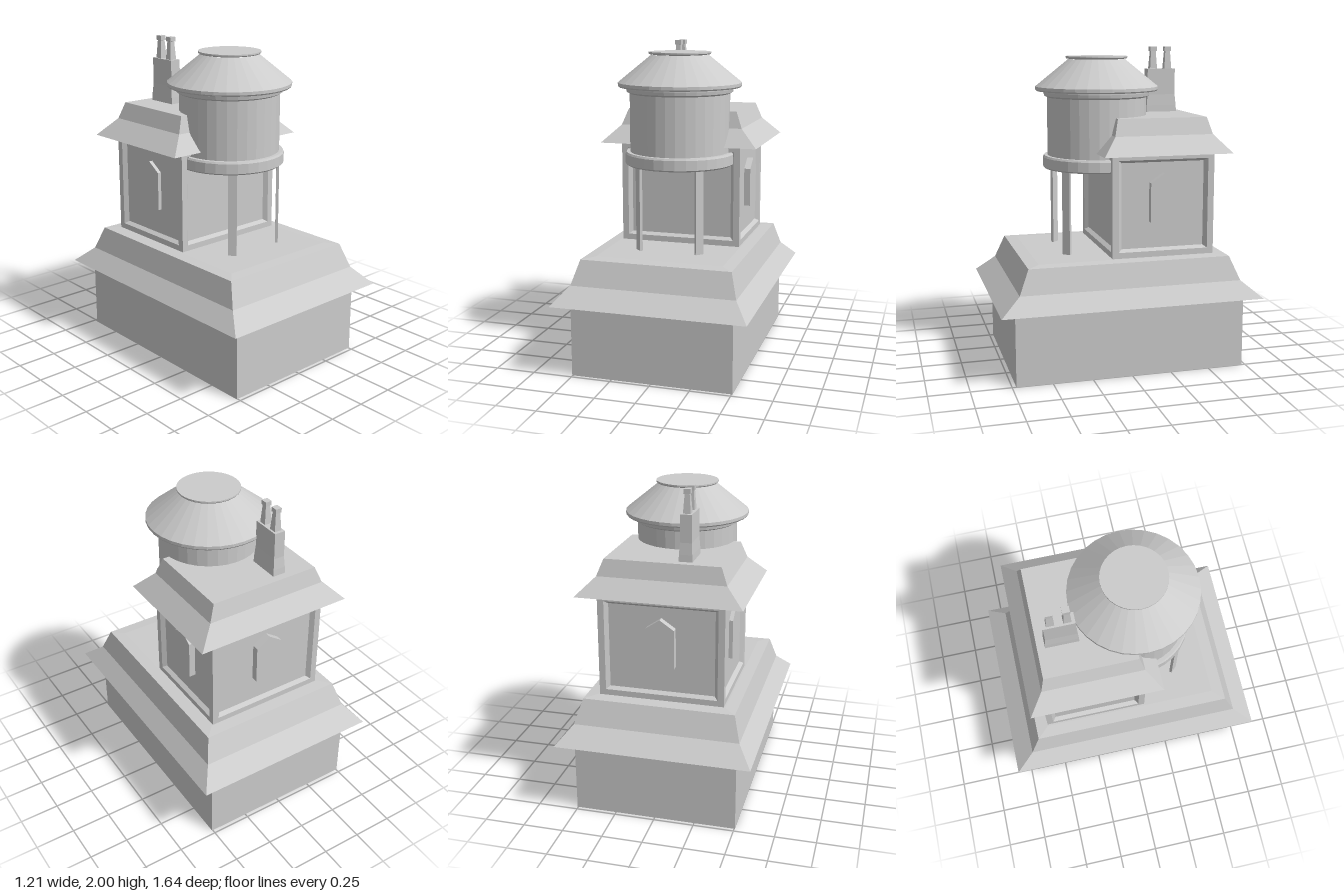
import * as THREE from 'three';

const material = new THREE.MeshStandardMaterial({ color: 0xcccccc, flatShading: true });

function add(parent, name, geometry, x = 0, y = 0, z = 0) {
  const mesh = new THREE.Mesh(geometry, material);
  mesh.name = name;
  mesh.position.set(x, y, z);
  parent.add(mesh);
  return mesh;
}

// Skin of rectangles stacked along y; each ring is [halfX, halfZ, y].
function rectLoft(rings, closeBottom = true) {
  const loops = rings.map(([a, b, y]) => [[-a, y, -b], [-a, y, b], [a, y, b], [a, y, -b]]);
  const pos = [];
  const quad = (a, b, c, d) => pos.push(...a, ...b, ...c, ...a, ...c, ...d);
  for (let r = 0; r < loops.length - 1; r++) {
    for (let i = 0; i < 4; i++) {
      const j = (i + 1) % 4;
      quad(loops[r][i], loops[r][j], loops[r + 1][j], loops[r + 1][i]);
    }
  }
  quad(...loops[loops.length - 1]);
  if (closeBottom) quad(...[...loops[0]].reverse());
  const geometry = new THREE.BufferGeometry();
  geometry.setAttribute('position', new THREE.Float32BufferAttribute(pos, 3));
  geometry.computeVertexNormals();
  return geometry;
}

function box(w, h, d) {
  return new THREE.BoxGeometry(w, h, d);
}

// Pointed window block, standing out along +z.
function windowGeometry(depth) {
  const shape = new THREE.Shape();
  shape.moveTo(-0.0875, -0.1525);
  shape.lineTo(0.0875, -0.1525);
  shape.lineTo(0.0875, 0.0925);
  shape.lineTo(0, 0.1525);
  shape.lineTo(-0.0875, 0.0925);
  shape.closePath();
  return new THREE.ExtrudeGeometry(shape, { depth, bevelEnabled: false });
}

function createCabin() {
  const cabin = new THREE.Group();
  cabin.name = 'upperHouse';
  cabin.position.z = -0.23;

  // Four walls with sunk, bevelled panels: [turn, half width, distance, window depth]
  const recess = 0.025;
  const walls = [
    ['frontWall', 0, 0.39, 0.3275, 0],
    ['leftWall', Math.PI / 2, 0.3275, 0.39, 0.04],
    ['backWall', Math.PI, 0.39, 0.3275, 0.042],
    ['rightWall', -Math.PI / 2, 0.3275, 0.39, 0.024],
  ];
  for (const [name, turn, half, distance, windowDepth] of walls) {
    const side = new THREE.Group();
    side.name = name;
    side.rotation.y = turn;
    const panel = rectLoft([
      [half, 0.3225, 0],
      [half - 0.04, 0.285, 0],
      [half - 0.062, 0.268, -recess],
    ], false);
    panel.rotateX(Math.PI / 2);
    add(side, name + 'Panel', panel, 0, 1.0425, distance);
    if (windowDepth) add(side, 'window', windowGeometry(windowDepth), 0, 1.0925, distance - recess);
    cabin.add(side);
  }

  add(cabin, 'upperRoof', rectLoft([
    [0.507, 0.406, 1.365],
    [0.395, 0.312, 1.475],
    [0.355, 0.285, 1.578],
  ]));

  // Chimney with two pots
  const chimney = new THREE.Group();
  chimney.name = 'chimney';
  chimney.position.set(-0.13, 0, -0.135);
  add(chimney, 'chimneyStack', rectLoft([
    [0.042, 0.103, 1.57],
    [0.04, 0.1, 1.62],
    [0.035, 0.093, 1.69],
    [0.035, 0.093, 1.857],
  ]));
  for (const z of [-0.049, 0.049]) {
    add(chimney, 'chimneyPot', rectLoft([
      [0.023, 0.024, 1.855],
      [0.015, 0.016, 1.97],
      [0.02, 0.022, 1.972],
      [0.02, 0.022, 2],
    ]), 0, 0, z);
  }
  cabin.add(chimney);
  return cabin;
}

function createTank() {
  const tank = new THREE.Group();
  tank.name = 'waterTank';
  tank.position.z = 0.097;
  const lathe = (name, points) =>
    add(tank, name, new THREE.LatheGeometry(points.map(([r, y]) => new THREE.Vector2(r, y)), 32));

  lathe('tankBand', [[0, 1.243], [0.335, 1.243], [0.345, 1.252], [0.345, 1.313], [0.338, 1.325], [0.31, 1.325]]);
  lathe('tankBody', [[0.315, 1.32], [0.315, 1.69]]);
  lathe('tankRim', [[0.315, 1.69], [0.333, 1.7], [0.337, 1.72], [0.337, 1.73]]);
  lathe('tankRoof', [[0.31, 1.73], [0.382, 1.73], [0.388, 1.738], [0.388, 1.757], [0.178, 1.927]]);
  lathe('tankCap', [[0.17, 1.927], [0.19, 1.93], [0.195, 1.936], [0.195, 1.945], [0, 1.945]]);

  // Flat posts facing outward
  for (const s of [-1, 1]) {
    const leg = add(tank, 'tankLeg', box(0.054, 0.54, 0.018), s * 0.193, 0.98, 0.243);
    leg.rotation.y = s * Math.PI / 4;
  }
  return tank;
}

export function createModel() {
  const model = new THREE.Group();
  model.name = 'houseWithWaterTank';

  add(model, 'lowerWalls', box(1.01, 0.46, 1.45), 0, 0.23, 0);
  add(model, 'lowerRoof', rectLoft([
    [0.605, 0.82, 0.46],
    [0.515, 0.697, 0.565],
    [0.472, 0.635, 0.715],
    [0.4, 0.56, 0.721],
  ]));
  model.add(createCabin(), createTank());
  return model;
}
